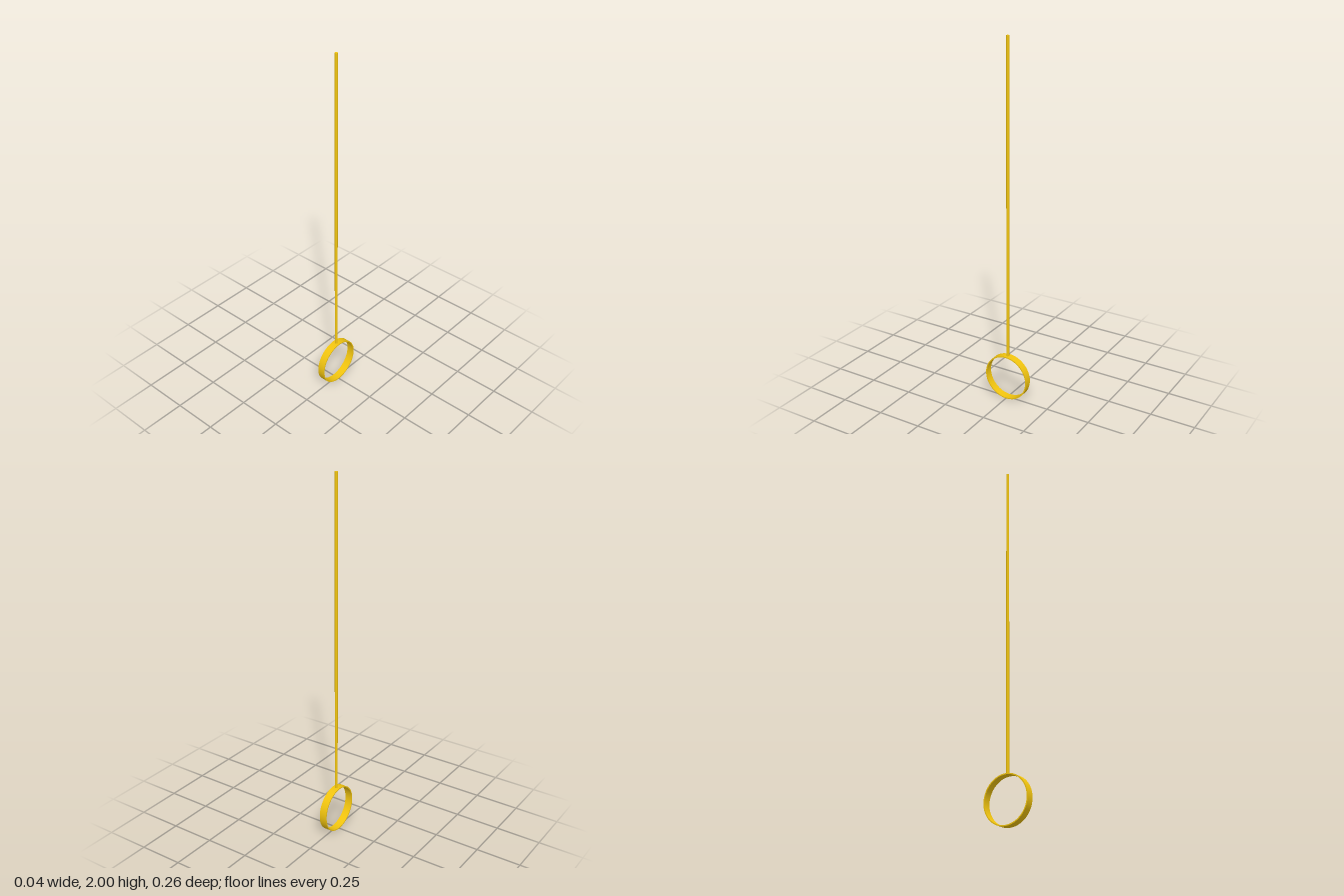
import * as THREE from 'three';

const OUTER = 0.129, INNER = 0.123, HALF_WIDTH = 0.021, ROD_RADIUS = 0.008;

export function createModel() {
  const group = new THREE.Group();
  const gold = new THREE.MeshStandardMaterial({ color: 0xf1c40f });

  // Flat band standing upright, its axis along x
  const shape = new THREE.Shape().absarc(0, 0, OUTER, 0, Math.PI * 2, false);
  shape.holes.push(new THREE.Path().absarc(0, 0, INNER, 0, Math.PI * 2, true));
  const bandGeometry = new THREE.ExtrudeGeometry(shape, {
    depth: HALF_WIDTH * 2, bevelEnabled: false, curveSegments: 64,
  });
  bandGeometry.translate(0, 0, -HALF_WIDTH).rotateY(Math.PI / 2);
  const ring = new THREE.Mesh(bandGeometry, gold);
  ring.name = 'ring';
  ring.position.y = OUTER;
  group.add(ring);

  // Long thin rod rising from the top of the ring
  const bottom = OUTER + INNER + 0.003;
  const rod = new THREE.Mesh(
    new THREE.CylinderGeometry(ROD_RADIUS, ROD_RADIUS, 2 - bottom, 24), gold);
  rod.name = 'rod';
  rod.position.y = (2 + bottom) / 2;
  group.add(rod);

  return group;
}
